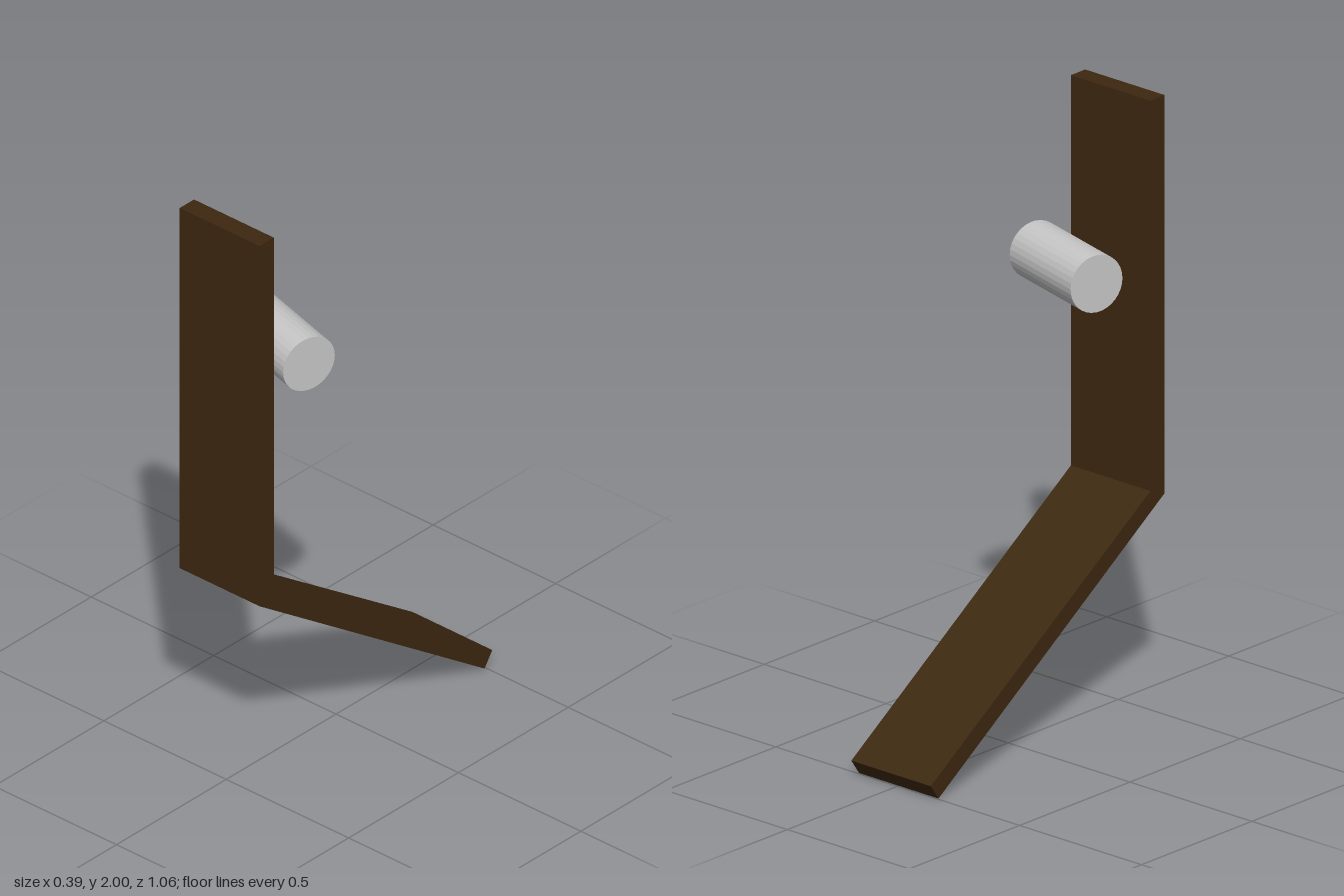
import * as THREE from 'three';

export function createModel() {
  const model = new THREE.Group();
  const darkWood = new THREE.MeshStandardMaterial({ color: 0x3d2810 });
  const paleGrey = new THREE.MeshStandardMaterial({ color: 0xc6c6c6, flatShading: true });

  // Bent plank: upright front board and sloping tail, profile given as (z, y)
  const width = 0.326;
  const profile = new THREE.Shape([
    [0.53, 2], [0.465, 2], [0.465, 0.73], [-0.53, 0.05], [-0.495, 0], [0.53, 0.705],
  ].map(([z, y]) => new THREE.Vector2(z, y)));
  const plankGeometry = new THREE.ExtrudeGeometry(profile, { depth: width, bevelEnabled: false });
  plankGeometry.translate(0, 0, -width / 2).rotateY(-Math.PI / 2);
  const plank = new THREE.Mesh(plankGeometry, darkWood);
  plank.name = 'bentPlank';
  model.add(plank);

  // Horizontal roller behind the upright, turned slightly about the vertical
  const rollerGeometry = new THREE.CylinderGeometry(0.093, 0.093, 0.35, 32);
  rollerGeometry.rotateZ(-Math.PI / 2);
  const roller = new THREE.Mesh(rollerGeometry, paleGrey);
  roller.name = 'roller';
  roller.position.set(0, 1.476, 0.263);
  roller.rotation.y = -0.277;
  model.add(roller);

  return model;
}
